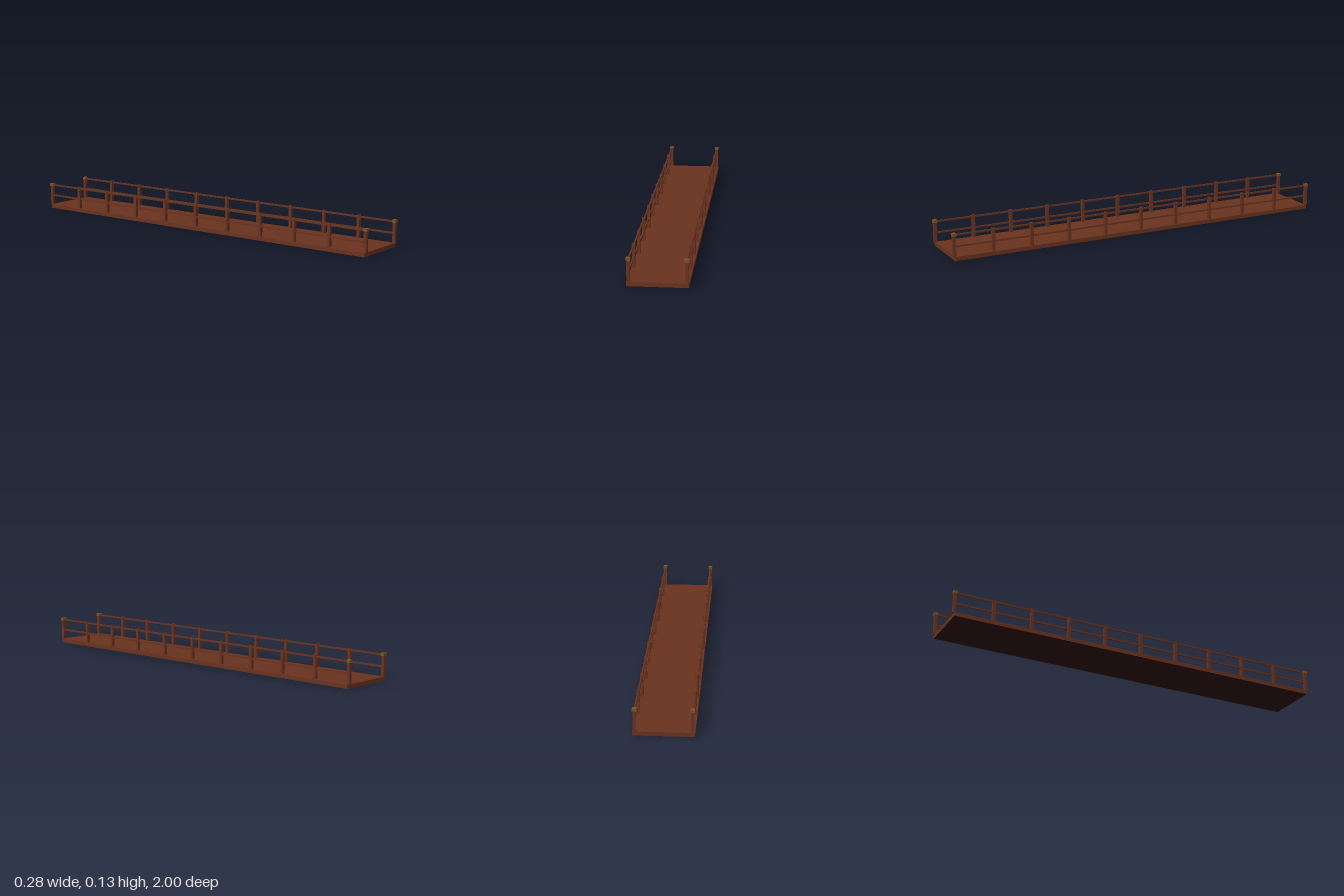
import * as THREE from 'three';

export function createModel() {
  const bridge = new THREE.Group();
  bridge.name = 'footbridge';

  const material = (name, color) => {
    const m = new THREE.MeshStandardMaterial({ color });
    m.name = name;
    return m;
  };
  const redwood = material('reddish wood', 0x69321e);
  const underside = material('dark underside', 0x2a0e0c);
  const capWood = material('golden cap wood', 0x7a5220);

  const add = (name, geometry, mat, x, y, z) => {
    const mesh = new THREE.Mesh(geometry, mat);
    mesh.name = name;
    mesh.position.set(x, y, z);
    bridge.add(mesh);
  };

  const length = 1.98, deckTop = 0.02, railX = 0.129, bays = 10, postHeight = 0.113;

  // Walking deck with a dark bottom face
  const deckFaces = [redwood, redwood, redwood, underside, redwood, redwood];
  add('deck', new THREE.BoxGeometry(0.28, deckTop, length), deckFaces, 0, deckTop / 2, 0);

  const postGeometry = new THREE.BoxGeometry(0.015, postHeight, 0.015);
  const railGeometry = new THREE.BoxGeometry(0.007, 0.008, length);
  const capGeometry = new THREE.BoxGeometry(0.02, 0.014, 0.02);

  for (const side of [-1, 1]) {
    const x = side * railX;

    // Posts, with square caps on the end ones only
    for (let i = 0; i <= bays; i++) {
      const z = -length / 2 + (length * i) / bays;
      add('post', postGeometry, redwood, x, deckTop + postHeight / 2, z);
      if (i === 0 || i === bays) add('postCap', capGeometry, capWood, x, 0.127, z);
    }

    // Handrail and middle rail
    add('handrail', railGeometry, redwood, x, 0.125, 0);
    add('middleRail', railGeometry, redwood, x, 0.069, 0);
  }

  return bridge;
}
